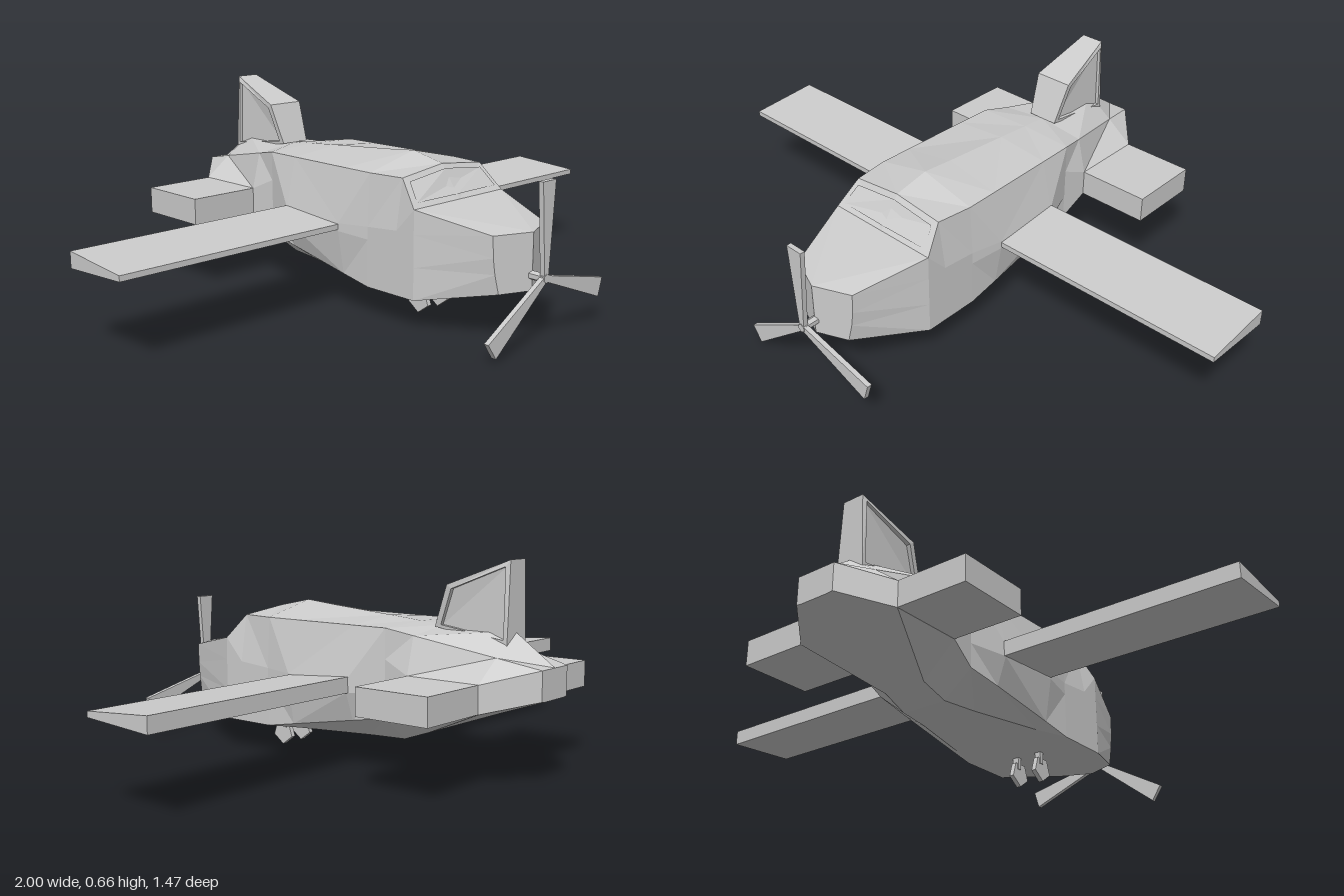
import * as THREE from 'three';

const material = new THREE.MeshStandardMaterial({ color: 0xcccccc, flatShading: true });

function part(name, geometry, parent) {
  const mesh = new THREE.Mesh(geometry, material);
  mesh.name = name;
  parent.add(mesh);
  return mesh;
}

// Move every vertex of a geometry by a rule
function reshape(geometry, rule) {
  const p = geometry.attributes.position;
  const v = new THREE.Vector3();
  for (let i = 0; i < p.count; i++) {
    v.fromBufferAttribute(p, i);
    rule(v);
    p.setXYZ(i, v.x, v.y, v.z);
  }
  geometry.computeVertexNormals();
  return geometry;
}

// Fuselage stations: z, top y, then x,y of shoulder, upper side, lower side, chine, keel
const stations = [
  [0.68, 0.325, 0.12, 0.325, 0.118, 0.26, 0.112, 0.21, 0.1, 0.15, 0.09, 0.15],
  [0.40, 0.375, 0.2, 0.375, 0.2, 0.30, 0.2, 0.2, 0.2, 0.1, 0.19, 0.1],
  [0.33, 0.475, 0.175, 0.455, 0.2, 0.30, 0.2, 0.2, 0.2, 0.1, 0.19, 0.1],
  [0.21, 0.50, 0.19, 0.455, 0.2, 0.29, 0.2, 0.25, 0.2, 0.1, 0.19, 0.1],
  [0.10, 0.49, 0.188, 0.455, 0.22, 0.285, 0.22, 0.26, 0.197, 0.119, 0.16, 0.1],
  [-0.14, 0.472, 0.183, 0.455, 0.22, 0.29, 0.22, 0.25, 0.188, 0.16, 0.1, 0.1],
  [-0.26, 0.462, 0.18, 0.455, 0.18, 0.36, 0.18, 0.26, 0.18, 0.18, 0.08, 0.1],
  [-0.35, 0.455, 0.16, 0.437, 0.19, 0.32, 0.19, 0.28, 0.19, 0.235, 0.075, 0.132],
  [-0.60, 0.455, 0.1, 0.387, 0.19, 0.32, 0.19, 0.28, 0.19, 0.235, 0.06, 0.222],
  [-0.735, 0.36, 0.07, 0.36, 0.07, 0.33, 0.07, 0.30, 0.07, 0.27, 0.05, 0.268],
];

function fuselageGeometry() {
  const rings = stations.map(([z, top, ...side], i) => {
    const half = [];
    for (let k = 0; k < side.length; k += 2) half.push([side[k], side[k + 1]]);
    const bottom = half[half.length - 1][1];
    const mirrored = half.map(([x, y]) => [-x, y]).reverse();
    // the nose is swept back to a shallow vertical ridge
    const sweep = i === 0 ? 0.42 : 0;
    return [[0, top], ...half, [0, bottom], ...mirrored]
      .map(([x, y]) => [x, y, z - Math.abs(x) * sweep]);
  });
  const n = rings[0].length;
  const out = [];
  const tri = (a, b, c) => out.push(...a, ...b, ...c);
  for (let i = 0; i < rings.length - 1; i++) {
    for (let j = 0; j < n; j++) {
      const k = (j + 1) % n;
      const a = rings[i][j], b = rings[i][k], c = rings[i + 1][k], d = rings[i + 1][j];
      if ((j >= n / 2) !== (i >= 4)) {
        tri(a, b, d);
        tri(b, c, d);
      } else {
        tri(a, b, c);
        tri(a, c, d);
      }
    }
  }
  // nose and tail caps
  const nose = rings[0], tail = rings[rings.length - 1];
  for (let j = 1; j < n - 1; j++) {
    tri(nose[0], nose[j + 1], nose[j]);
    tri(tail[0], tail[j], tail[j + 1]);
  }
  const g = new THREE.BufferGeometry();
  g.setAttribute('position', new THREE.Float32BufferAttribute(out, 3));
  g.computeVertexNormals();
  return g;
}

// Side outline in (-z, y), extruded symmetrically across x
function sidePlate(outline, hole, width) {
  const toPoints = (list) => list.map(([z, y]) => new THREE.Vector2(-z, y));
  const shape = new THREE.Shape(toPoints(outline));
  if (hole) shape.holes.push(new THREE.Path(toPoints(hole)));
  const g = new THREE.ExtrudeGeometry(shape, { depth: width, bevelEnabled: false });
  g.translate(0, 0, -width / 2);
  g.rotateY(Math.PI / 2);
  // narrower at the foot and at the tip
  return reshape(g, (v) => {
    const t = v.y < 0.585 ? 0.8 + 0.2 * Math.max(0, (v.y - 0.455) / 0.13)
      : 1 - 0.4 * (v.y - 0.585) / 0.08;
    v.x *= t;
  });
}

export function createModel() {
  const plane = new THREE.Group();
  plane.name = 'airplane';

  part('fuselage', fuselageGeometry(), plane);

  // Windshield follows the sloped front of the cabin
  const glass = new THREE.Shape([
    [-0.178, 0.39], [0, 0.39], [0.178, 0.39], [0.16, 0.444], [0, 0.462], [-0.16, 0.444],
  ].map(([x, y]) => new THREE.Vector2(x, y)));
  part('windshield', reshape(new THREE.ShapeGeometry(glass), (v) => {
    v.z = 0.404 - (v.y - 0.375) * (0.7 + 0.175 * Math.abs(v.x) / 0.18);
  }), plane);

  // Wing is a wedge: thin leading edge, thick trailing edge
  const wing = new THREE.BoxGeometry(2, 0.05, 0.245);
  reshape(wing, (v) => { if (v.z > 0) v.y = v.y * 0.35 - 0.002; });
  part('wing', wing, plane).position.set(0, 0.275, -0.023);

  part('tailplane', new THREE.BoxGeometry(0.86, 0.085, 0.25), plane).position.set(0, 0.278, -0.475);

  // Tail fin: outer frame with recessed side panels
  const finOutline = [[-0.35, 0.455], [-0.605, 0.415], [-0.605, 0.665], [-0.57, 0.651], [-0.40, 0.585]];
  const finInset = [[-0.372, 0.462], [-0.592, 0.432], [-0.592, 0.645], [-0.415, 0.573]];
  const fin = new THREE.Group();
  fin.name = 'tailFin';
  plane.add(fin);
  part('finFrame', sidePlate(finOutline, finInset, 0.13), fin);
  part('finPanel', sidePlate(finInset, null, 0.1), fin);

  // Propeller: shaft and three flared blades
  const propeller = new THREE.Group();
  propeller.name = 'propeller';
  propeller.position.set(0, 0.197, 0.722);
  plane.add(propeller);
  const shaft = new THREE.CylinderGeometry(0.014, 0.014, 0.07, 6);
  shaft.rotateX(Math.PI / 2);
  part('shaft', shaft, propeller).position.z = -0.025;
  for (const angle of [0, 124, 253]) {
    const blade = new THREE.BoxGeometry(0.06, 0.285, 0.016);
    blade.translate(0, 0.1425, 0);
    reshape(blade, (v) => { if (v.y < 0.1) v.x *= 0.3; });
    part('blade', blade, propeller).rotation.z = THREE.MathUtils.degToRad(angle);
  }

  // Twin front wheels on short struts
  for (const side of [1, -1]) {
    const gear = new THREE.Group();
    gear.name = side > 0 ? 'leftWheel' : 'rightWheel';
    gear.position.set(side * 0.045, 0.045, 0.284);
    plane.add(gear);
    const wheel = new THREE.CylinderGeometry(0.043, 0.043, 0.016, 5);
    wheel.rotateY(Math.PI);
    wheel.rotateZ(Math.PI / 2);
    wheel.rotateX(Math.PI / 2 * 3);
    wheel.computeBoundingBox();
    // point one corner of the pentagon to the rear
    if (wheel.boundingBox.max.z > -wheel.boundingBox.min.z) wheel.rotateX(Math.PI);
    part('tire', wheel, gear);
    part('strut', new THREE.BoxGeometry(0.022, 0.05, 0.016), gear).position.set(0, 0.04, -0.008);
  }

  return plane;
}
